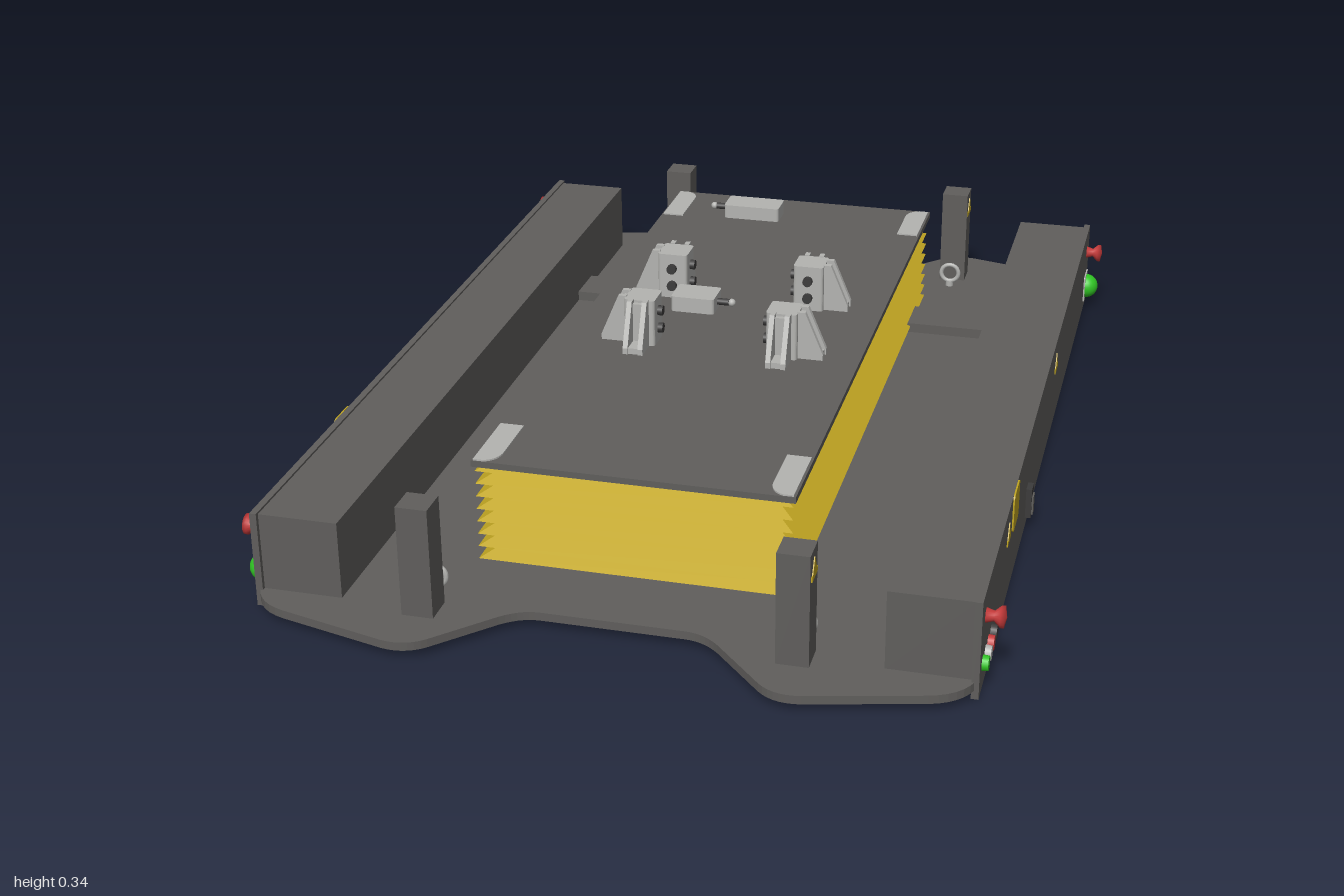
import * as THREE from 'three';

const mat = (name, color) => {
  const m = new THREE.MeshStandardMaterial({ color });
  m.name = name;
  return m;
};

export function createModel() {
  const M = {
    body: mat('dark grey paint', 0x605e5c),
    yellow: mat('bellows yellow', 0xc0a522),
    light: mat('light metal', 0xb4b4b1),
    dark: mat('dark fittings', 0x3c3b3b),
    red: mat('signal red', 0xc43a3a),
    green: mat('signal green', 0x30c424),
  };
  const root = new THREE.Group();
  root.name = 'liftPlatform';

  const add = (parent, name, geo, material, x = 0, y = 0, z = 0) => {
    const m = new THREE.Mesh(geo, material);
    m.name = name;
    m.position.set(x, y, z);
    parent.add(m);
    return m;
  };
  // Box given by its min and max on each axis
  const box = (parent, name, material, x0, x1, y0, y1, z0, z1) =>
    add(parent, name, new THREE.BoxGeometry(x1 - x0, y1 - y0, z1 - z0), material,
      (x0 + x1) / 2, (y0 + y1) / 2, (z0 + z1) / 2);
  const extrude = (shape, depth) =>
    new THREE.ExtrudeGeometry(shape, { depth, bevelEnabled: false, curveSegments: 8 });
  const roundRect = (w, h, r) => {
    const s = new THREE.Shape(), a = w / 2, b = h / 2;
    s.moveTo(-a + r, -b).lineTo(a - r, -b).quadraticCurveTo(a, -b, a, -b + r);
    s.lineTo(a, b - r).quadraticCurveTo(a, b, a - r, b);
    s.lineTo(-a + r, b).quadraticCurveTo(-a, b, -a, b - r);
    s.lineTo(-a, -b + r).quadraticCurveTo(-a, -b, -a + r, -b);
    return s;
  };

  // Floor plate with a notch and two lobes at each end
  const floor = new THREE.Shape();
  floor.moveTo(0.645, -0.85).lineTo(0.645, 0.85);
  floor.quadraticCurveTo(0.64, 0.925, 0.57, 0.945).lineTo(0.38, 0.993);
  floor.quadraticCurveTo(0.325, 1.01, 0.29, 0.975).lineTo(0.205, 0.885);
  floor.quadraticCurveTo(0.17, 0.845, 0.13, 0.845).lineTo(-0.13, 0.845);
  floor.quadraticCurveTo(-0.17, 0.845, -0.205, 0.885).lineTo(-0.29, 0.975);
  floor.quadraticCurveTo(-0.325, 1.01, -0.38, 0.993).lineTo(-0.57, 0.945);
  floor.quadraticCurveTo(-0.64, 0.925, -0.645, 0.85).lineTo(-0.645, -0.85);
  floor.quadraticCurveTo(-0.64, -0.925, -0.57, -0.945).lineTo(-0.38, -0.993);
  floor.quadraticCurveTo(-0.325, -1.01, -0.29, -0.975).lineTo(-0.205, -0.885);
  floor.quadraticCurveTo(-0.17, -0.845, -0.13, -0.845).lineTo(0.13, -0.845);
  floor.quadraticCurveTo(0.17, -0.845, 0.205, -0.885).lineTo(0.29, -0.975);
  floor.quadraticCurveTo(0.325, -1.01, 0.38, -0.993).lineTo(0.57, -0.945);
  floor.quadraticCurveTo(0.64, -0.925, 0.645, -0.85);
  add(root, 'floorPlate', extrude(floor, 0.016).rotateX(-Math.PI / 2), M.body, 0, 0.019, 0);

  // Pleated bellows: rectangular rings, alternately wide and narrow
  const pleats = 8, y0 = 0.036, y1 = 0.238, verts = [];
  const ring = (i) => {
    const d = i % 2 ? 0 : 0.026, y = y0 + (y1 - y0) * i / (2 * pleats);
    const a = 0.29 - d, b = 0.71 - d;
    return [[a, y, b], [a, y, -b], [-a, y, -b], [-a, y, b]];
  };
  for (let i = 0; i < 2 * pleats; i++) {
    const lo = ring(i), hi = ring(i + 1);
    for (let k = 0; k < 4; k++) {
      const n = (k + 1) % 4;
      verts.push(...lo[k], ...lo[n], ...hi[n], ...lo[k], ...hi[n], ...hi[k]);
    }
  }
  const bellows = new THREE.BufferGeometry();
  bellows.setAttribute('position', new THREE.Float32BufferAttribute(verts, 3));
  bellows.computeVertexNormals();
  add(root, 'bellows', bellows, M.yellow);

  // Lifting table and its corner pads
  box(root, 'tableTop', M.body, -0.295, 0.295, 0.236, 0.248, -0.72, 0.715);
  for (const s of [-1, 1]) for (const e of [-1, 1]) {
    const pad = new THREE.Shape();
    pad.moveTo(0, -0.075).lineTo(-0.02, -0.075).quadraticCurveTo(-0.045, -0.065, -0.045, -0.035);
    pad.lineTo(-0.045, 0.075).lineTo(0, 0.075);
    const p = add(root, 'cornerPad', extrude(pad, 0.003).rotateX(-Math.PI / 2), M.light,
      s * 0.291, 0.248, e * 0.638);
    if (s < 0) p.rotation.y = Math.PI;
    // mirror in z so the rounded corner faces the middle of the table
    if (s * e < 0) {
      p.geometry.rotateZ(Math.PI).rotateY(Math.PI).translate(0, 0.003, 0);
    }
  }

  // Sensor boxes with a cable plug
  const sensor = (x, z, w, d, h, side) => {
    const g = new THREE.Group();
    g.name = 'sensorBox';
    g.position.set(x, 0.248, z);
    add(g, 'sensorCase', extrude(roundRect(w, d, 0.008), h).rotateX(-Math.PI / 2), M.light);
    add(g, 'plug', new THREE.CylinderGeometry(0.007, 0.007, 0.025, 12).rotateZ(Math.PI / 2),
      M.dark, side * (w / 2 + 0.012), h / 2, 0);
    add(g, 'plugTip', new THREE.SphereGeometry(0.008, 12, 8), M.light, side * (w / 2 + 0.03), h / 2, 0);
    root.add(g);
  };
  sensor(-0.09, -0.608, 0.125, 0.065, 0.03, -1);
  sensor(-0.083, -0.06, 0.09, 0.07, 0.032, 1);

  // Corner locating brackets: two upright blocks, outward ribs, inward bolts
  const rib = new THREE.Shape();
  rib.moveTo(0, 0).lineTo(0.052, 0).lineTo(0.052, 0.012).lineTo(0.016, 0.097).lineTo(0, 0.097);
  for (const sx of [-1, 1]) for (const sz of [-1, 1]) {
    const g = new THREE.Group();
    g.name = 'locatingBracket';
    g.position.set(sx * 0.143, 0.248, sz * 0.125);
    add(g, 'bracketCore', extrude(roundRect(0.062, 0.062, 0.008), 0.095).rotateX(-Math.PI / 2), M.light);
    for (const axis of ['x', 'z']) {
      const arm = new THREE.Group();
      arm.name = 'bracketArm';
      arm.rotation.y = axis === 'x' ? (sx > 0 ? 0 : Math.PI) : (sz > 0 ? -Math.PI / 2 : Math.PI / 2);
      for (const o of [-0.02, 0.01]) add(arm, 'rib', extrude(rib, 0.01), M.light, 0.029, 0, o);
      box(arm, 'foot', M.light, 0.029, 0.078, 0, 0.012, -0.02, 0.02);
      box(arm, 'web', M.light, 0.029, 0.04, 0, 0.09, -0.018, 0.018);
      for (const y of [0.028, 0.065])
        add(arm, 'bolt', new THREE.CylinderGeometry(0.01, 0.01, 0.012, 12).rotateZ(Math.PI / 2),
          M.dark, -0.035, y, 0);
      g.add(arm);
    }
    root.add(g);
  }

  // Warning triangle on a plate facing +x
  const warn = new THREE.Shape();
  warn.moveTo(-0.022, -0.018).lineTo(0.022, -0.018).lineTo(0.022, -0.008)
    .lineTo(0.016, -0.008).lineTo(0, 0.02).lineTo(-0.016, -0.008).lineTo(-0.022, -0.008);
  const faceX = (shape, depth, s) => extrude(shape, depth).rotateY(s * Math.PI / 2);

  for (const s of [-1, 1]) {
    // Side beams: outer panel and hollow-section box
    box(root, 'sidePanel', M.body, Math.min(s * 0.632, s * 0.645), Math.max(s * 0.632, s * 0.645),
      0.003, 0.187, -0.888, 0.888);
    box(root, 'sideBeam', M.body, Math.min(s * 0.485, s * 0.633), Math.max(s * 0.485, s * 0.633),
      0.034, 0.183, -0.88, 0.88);
    box(root, 'crossDuct', M.body, Math.min(s * 0.27, s * 0.487), Math.max(s * 0.27, s * 0.487),
      0.034, 0.056, -0.62, -0.52);

    for (const e of [-1, 1]) {
      // Corner posts with marking, and lifting eyes
      box(root, 'cornerPost', M.body, s * 0.333 - 0.029, s * 0.333 + 0.029, 0.034, 0.246,
        e * 0.88 - 0.029, e * 0.88 + 0.029);
      add(root, 'postMark', faceX(warn, 0.002, s), M.yellow, s * 0.362, 0.212, e * 0.88);
      add(root, 'liftingEye', new THREE.TorusGeometry(0.02, 0.005, 8, 20), M.light,
        s * 0.333, 0.066, e * 0.815);
      add(root, 'eyeStem', new THREE.CylinderGeometry(0.009, 0.009, 0.014, 12), M.light,
        s * 0.333, 0.041, e * 0.815);
      // Emergency stop buttons
      const stop = new THREE.Group();
      stop.name = 'stopButton';
      stop.position.set(s * 0.645, 0.138, e * 0.84);
      stop.rotation.z = -s * Math.PI / 2;
      const profile = [[0, 0], [0.013, 0], [0.009, 0.014], [0.019, 0.025], [0.019, 0.031], [0, 0.035]];
      add(stop, 'stopKnob', new THREE.LatheGeometry(
        profile.map(([r, y]) => new THREE.Vector2(r, y)), 20), M.red);
      root.add(stop);
    }

    // Round signal lamp on a square plate, at opposite ends of the two sides
    const lampZ = -s * 0.84;
    add(root, 'lampPlate', faceX(roundRect(0.06, 0.06, 0.004), 0.003, s), M.light, s * 0.645, 0.055, lampZ);
    add(root, 'signalLamp', new THREE.SphereGeometry(0.027, 24, 16), M.green, s * 0.648, 0.055, lampZ);

    // Labels
    add(root, 'yellowLabel', faceX(roundRect(0.075, 0.075, 0.012), 0.003, s), M.yellow,
      s * 0.645, 0.15, 0.468);
    for (const z of [s * 0.553, -0.2])
      add(root, 'warningLabel', faceX(warn, 0.002, s), M.yellow, s * 0.645, 0.14, z);
  }
  add(root, 'lightLabel', faceX(roundRect(0.045, 0.045, 0.012), 0.003, -1), M.light, -0.645, 0.12, 0.35);

  // Control buttons and recessed switch on the left side
  [[0.855, M.green], [0.822, M.light], [0.788, M.red], [0.752, M.dark]].forEach(([z, m]) =>
    add(root, 'controlButton', new THREE.CylinderGeometry(0.013, 0.014, 0.012, 16).rotateZ(-Math.PI / 2),
      m, 0.65, 0.055, z));
  box(root, 'switchHousing', M.dark, 0.645, 0.656, 0.025, 0.085, 0.245, 0.275);
  box(root, 'switchFace', M.body, 0.656, 0.659, 0.03, 0.068, 0.25, 0.27);

  return root;
}
